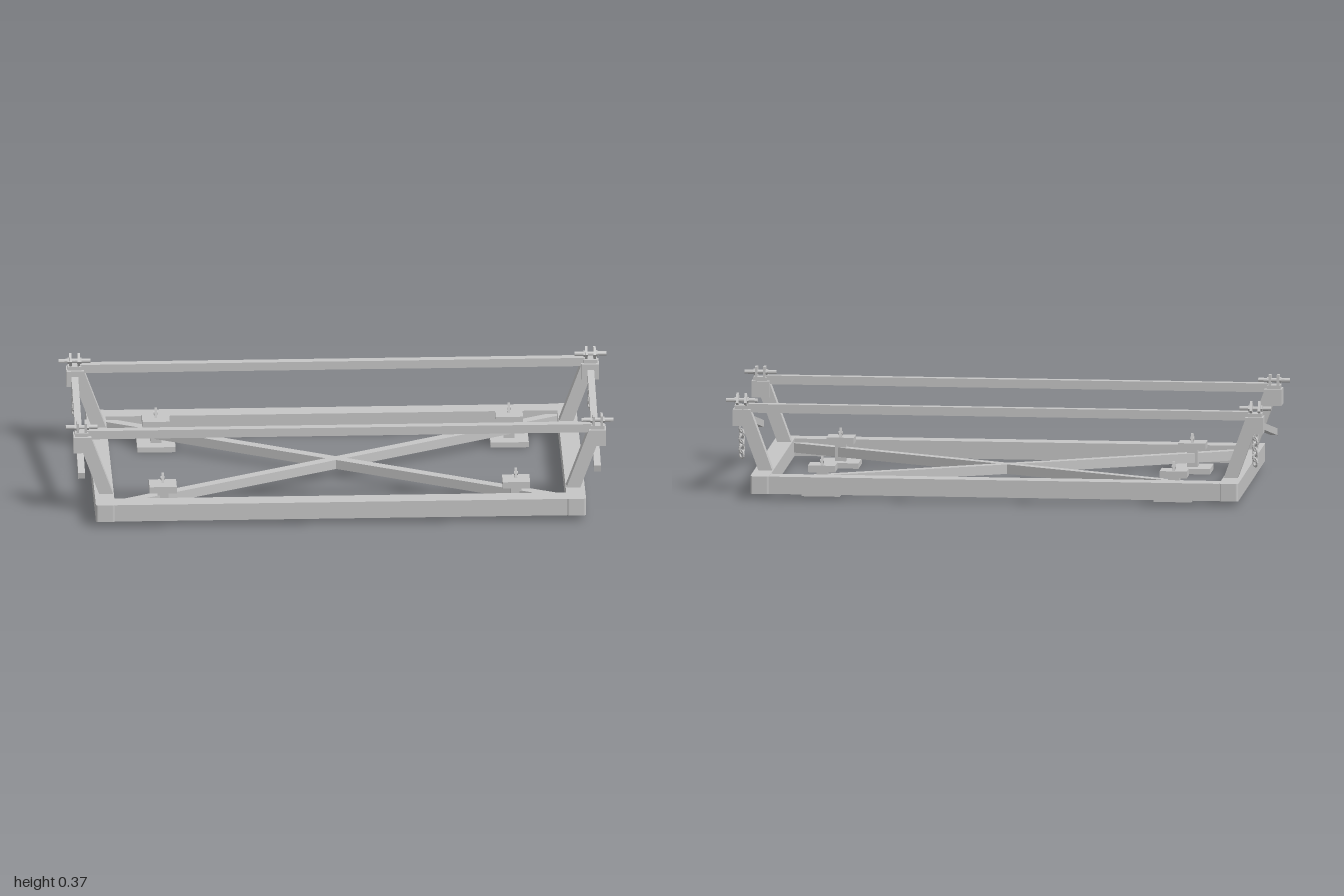
import * as THREE from 'three';

const steel = new THREE.MeshStandardMaterial({ color: 0xc6c6c6 });
steel.name = 'light grey steel';
steel.flatShading = true;

function add(parent, name, geometry, x = 0, y = 0, z = 0) {
  const mesh = new THREE.Mesh(geometry, steel);
  mesh.name = name;
  mesh.position.set(x, y, z);
  parent.add(mesh);
  return mesh;
}

const box = (parent, name, w, h, d, x, y, z) =>
  add(parent, name, new THREE.BoxGeometry(w, h, d), x, y, z);

// Square bar running between two points
function bar(parent, name, a, b, w, h) {
  const from = new THREE.Vector3(...a), to = new THREE.Vector3(...b);
  const mesh = box(parent, name, w, h, from.distanceTo(to), 0, 0, 0);
  mesh.position.copy(from).add(to).multiplyScalar(0.5);
  mesh.lookAt(to);
  return mesh;
}

// Side rail with rounded corners, lying along z
function sideRailGeometry() {
  const x = 0.035, z = 0.483, r = 0.009, q = Math.PI / 2;
  const shape = new THREE.Shape();
  shape.absarc(x - r, z - r, r, 0, q);
  shape.absarc(-x + r, z - r, r, q, 2 * q);
  shape.absarc(-x + r, -z + r, r, 2 * q, 3 * q);
  shape.absarc(x - r, -z + r, r, 3 * q, 4 * q);
  return new THREE.ExtrudeGeometry(shape, { depth: 0.065, bevelEnabled: false, curveSegments: 5 })
    .rotateX(-Math.PI / 2);
}

// Foot plate, upper block and pointed fin
function foot(parent, x, z) {
  const g = new THREE.Group();
  g.name = 'foot';
  g.position.set(x, 0, z);
  box(g, 'footPlate', 0.14, 0.02, 0.13, 0, 0.01, 0);
  box(g, 'footBlock', 0.1, 0.025, 0.08, 0, 0.0975, 0);
  box(g, 'footCore', 0.04, 0.066, 0.04, 0, 0.053, 0);
  const fin = new THREE.Shape();
  fin.moveTo(-0.015, 0);
  fin.lineTo(0.015, 0);
  fin.lineTo(0.004, 0.034);
  fin.lineTo(-0.003, 0.034);
  const finMesh = add(g, 'footFin', new THREE.ExtrudeGeometry(fin,
    { depth: 0.009, bevelEnabled: false }).translate(0, 0, -0.0045), 0, 0.11, -0.015);
  finMesh.rotation.y = Math.PI / 2;
  add(g, 'footBolt', new THREE.CylinderGeometry(0.007, 0.007, 0.014, 10)
    .rotateZ(Math.PI / 2), 0, 0.124, -0.017);
  parent.add(g);
}

// Clamp: neck, two square jaws on a cross rod
function clamp(parent, x, z, turn) {
  const g = new THREE.Group();
  g.name = 'clamp';
  g.position.set(x, 0.34, z);
  box(g, 'clampNeck', 0.05, 0.015, 0.043, 0, -0.024, 0);
  add(g, 'clampRod', new THREE.CylinderGeometry(0.008, 0.008, 0.116, 10).rotateZ(Math.PI / 2));
  for (const dx of [-0.015, 0.015]) {
    const jaw = box(g, 'clampJaw', 0.009, 0.041, 0.04, dx, 0, 0);
    jaw.rotation.x = turn;
    add(g, 'clampNut', new THREE.CylinderGeometry(0.012, 0.012, 0.007, 6)
      .rotateZ(Math.PI / 2), dx * 1.5, 0, 0);
  }
  parent.add(g);
}

// Chain of alternating oval links
function chain(parent, x, z) {
  const g = new THREE.Group();
  g.name = 'chain';
  for (let i = 0; i < 6; i++) {
    const link = add(g, 'chainLink',
      new THREE.TorusGeometry(0.011, 0.004, 6, 12).scale(1, 1.25, 1),
      x, 0.238 - i * 0.0195, z);
    link.rotation.y = Math.PI / 4 + i * Math.PI / 2;
  }
  parent.add(g);
}

export function createModel() {
  const model = new THREE.Group();
  model.name = 'baseFrame';
  const frontZ = 0.345, backZ = -0.323;

  // Base frame rails and crossed braces
  for (const s of [-1, 1]) {
    add(model, 'sideRail', sideRailGeometry(), s * 0.86, 0.02, 0);
    box(model, 'longRail', 1.66, 0.064, 0.067, 0, 0.0525, s * 0.447);
    bar(model, 'crossBrace', [-0.83, 0.053, -s * 0.418], [0.83, 0.053, s * 0.418], 0.035, 0.035);
  }

  // Feet
  for (const s of [-1, 1]) {
    foot(model, s * 0.645, 0.33);
    foot(model, s * 0.645, -0.328);
  }

  // Posts, caps, clamps and upper bars
  for (const z of [frontZ, backZ]) {
    box(model, 'upperBar', 1.84, 0.032, 0.03, 0, 0.313, z);
    for (const s of [-1, 1]) {
      bar(model, 'post', [s * 0.848, 0.07, z], [s * 0.93, 0.295, z], 0.043, 0.048);
      box(model, 'postCap', 0.065, 0.06, 0.065, s * 0.94, 0.28, z);
      clamp(model, s * 0.942, z, z > 0 ? 0.04 : 0.6);
    }
  }

  // Slanting side braces and hanging chains
  for (const s of [-1, 1]) {
    bar(model, 'sideBrace', [s * 0.942, 0.149, 0.345], [s * 0.942, 0.28, -0.31], 0.025, 0.025);
    chain(model, s * 0.942, backZ);
  }
  return model;
}
